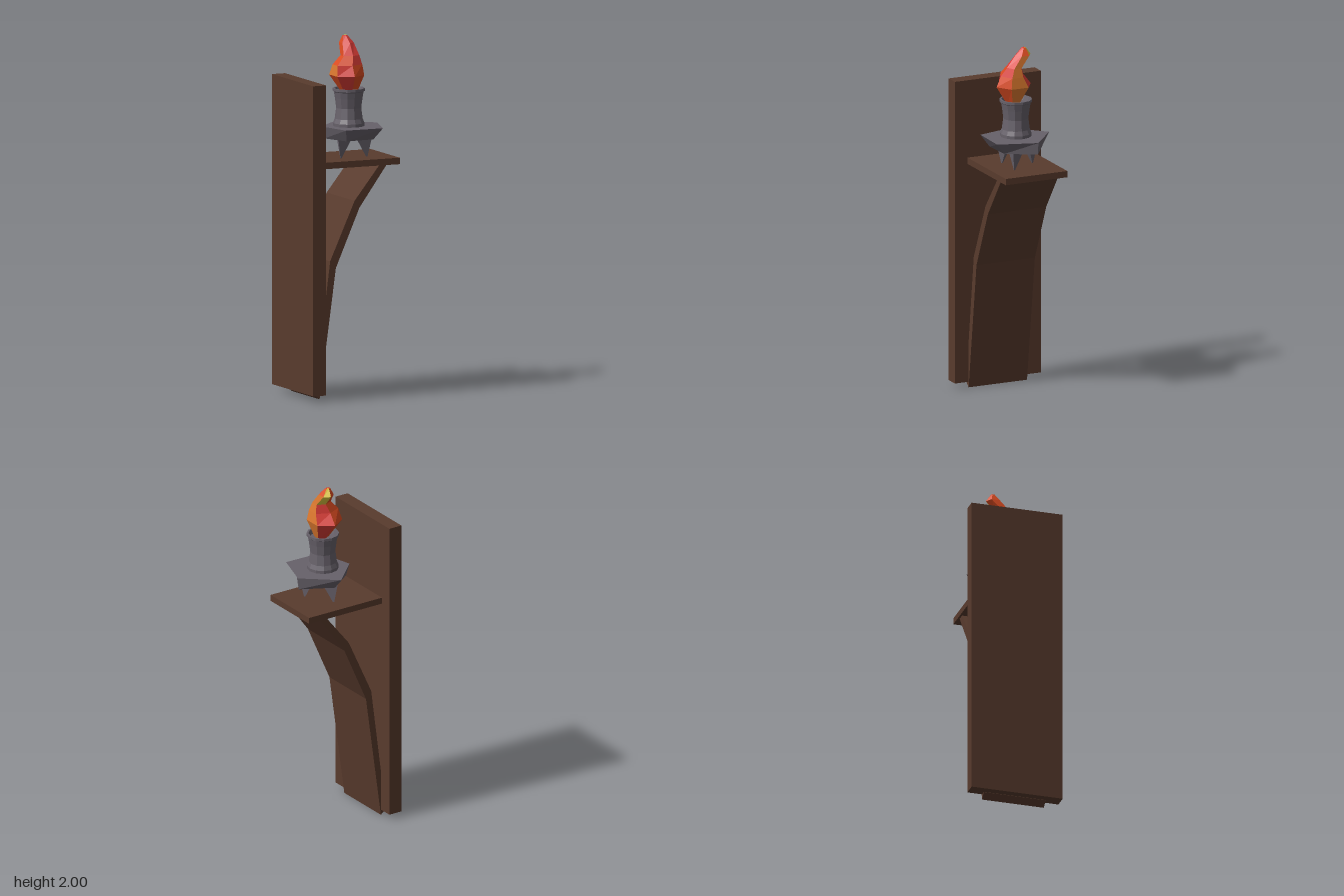
import * as THREE from 'three';

const material = (name, color, extra = {}) => {
  const m = new THREE.MeshStandardMaterial({ color, flatShading: true, ...extra });
  m.name = name;
  return m;
};

// Skin a stack of rings (points running from +x towards +z, lowest ring first), both ends capped.
// pick(row, side) gives the material index of each panel.
function loft(rings, pick = () => 0) {
  const pos = [];
  const geo = new THREE.BufferGeometry();
  const n = rings[0].length;
  const tri = (...pts) => pts.forEach((p) => pos.push(p.x, p.y, p.z));
  const panel = (row, side, build) => {
    const start = pos.length / 3;
    build();
    geo.addGroup(start, pos.length / 3 - start, pick(row, side));
  };
  const middle = (ring) => ring.reduce((s, p) => s.add(p), new THREE.Vector3()).divideScalar(n);
  const first = rings[0], last = rings[rings.length - 1];
  for (let k = 0; k < n; k++) {
    const j = (k + 1) % n;
    panel(0, k, () => tri(middle(first), first[k], first[j]));
    for (let r = 0; r < rings.length - 1; r++) {
      const a = rings[r], b = rings[r + 1];
      panel(r, k, () => { tri(a[k], b[k], a[j]); tri(a[j], b[k], b[j]); });
    }
    panel(rings.length - 2, k, () => tri(middle(last), last[j], last[k]));
  }
  geo.setAttribute('position', new THREE.Float32BufferAttribute(pos, 3));
  geo.computeVertexNormals();
  return geo;
}

// Regular ring with its own centre and radii
const ring = (n, y, cx, cz, rx, rz, turn = 0) => Array.from({ length: n }, (_, k) => {
  const a = turn + (k / n) * Math.PI * 2;
  return new THREE.Vector3(cx + rx * Math.cos(a), y, cz + rz * Math.sin(a));
});

const outline = (y, pts) => pts.map(([x, z]) => new THREE.Vector3(x, y, z));

export function createModel() {
  const wood = material('dark wood', 0x593b2d);
  const iron = material('grey iron', 0x67616a, { side: THREE.DoubleSide });
  const flameColours = [
    material('flame red', 0xd93c36),
    material('flame orange', 0xd84a20),
    material('flame amber', 0xdf7a30),
    material('flame yellow', 0xe0c840),
  ];
  const model = new THREE.Group();
  model.name = 'wallTorch';
  const add = (name, geo, mat, parent = model) => {
    const mesh = new THREE.Mesh(geo, mat);
    mesh.name = name;
    parent.add(mesh);
    return mesh;
  };

  // Wooden back board and shelf
  add('backBoard', new THREE.BoxGeometry(0.08, 1.74, 0.53), wood).position.set(-0.245, 0.902, 0);
  add('shelf', new THREE.BoxGeometry(0.49, 0.036, 0.38), wood).position.set(0.04, 1.308, -0.002);

  // Bent plank under the shelf
  const plank = new THREE.Shape([
    [-0.205, 0], [-0.105, 0.73], [0.04, 1.06], [0.21, 1.295],
    [0.165, 1.295], [0.01, 1.1], [-0.14, 0.77], [-0.205, 0.27], [-0.24, 0.03],
  ].map(([x, y]) => new THREE.Vector2(x, y)));
  const braceGeo = new THREE.ExtrudeGeometry(plank, { depth: 0.36, bevelEnabled: false });
  add('brace', braceGeo.translate(0, 0, -0.18), wood);

  // Iron holder: five-sided dish, three pointed feet, flared cup
  const holder = new THREE.Group();
  holder.name = 'holder';
  model.add(holder);
  add('dish', loft([
    outline(1.43, [[0.245, -0.03], [0.15, 0.13], [-0.02, 0.14], [-0.08, -0.02], [0.065, -0.125]]),
    outline(1.498, [[0.25, -0.03], [0.18, 0.19], [-0.045, 0.185], [-0.1, -0.025], [0.065, -0.185]]),
  ]), iron, holder);
  for (const [x, z] of [[-0.02, 0.065], [0.14, 0.065], [0.05, -0.09]]) {
    const topX = 0.055 + (x - 0.055) * 0.75, topZ = z * 0.75;
    const turn = Math.atan2(z, x - 0.055);
    add('foot', loft([
      ring(3, 1.322, x, z, 0.003, 0.003, turn),
      ring(3, 1.45, topX, topZ, 0.06, 0.06, turn),
    ]), iron, holder);
  }
  const cupProfile = [
    [0.088, 1.49], [0.088, 1.515], [0.078, 1.54], [0.07, 1.6], [0.077, 1.655],
    [0.083, 1.69], [0.091, 1.695], [0.091, 1.71], [0.08, 1.71], [0.072, 1.685], [0, 1.68],
  ].map(([x, y]) => new THREE.Vector2(x, y));
  add('cup', new THREE.LatheGeometry(cupProfile, 12), iron, holder).position.set(0.053, 0, 0.014);

  // Faceted flame leaning to the back: one colour digit per side, lowest row first
  const turn = -Math.PI / 6;
  const flameRings = [
    [1.68, 0.05, 0.03, 0.04, 0.035],
    [1.785, 0.038, 0.02, 0.096, 0.105],
    [1.845, 0.037, 0.03, 0.087, 0.068],
    [1.895, 0.055, 0.025, 0.055, 0.043],
    [1.96, 0.058, -0.027, 0.04, 0.047],
    [2.0, 0.053, -0.035, 0.014, 0.012],
  ].map((r) => ring(6, ...r, turn));
  const rows = ['210110', '210210', '201110', '200113', '100113'];
  add('flame', loft(flameRings, (row, side) => Number(rows[row][side])), flameColours);
  return model;
}
